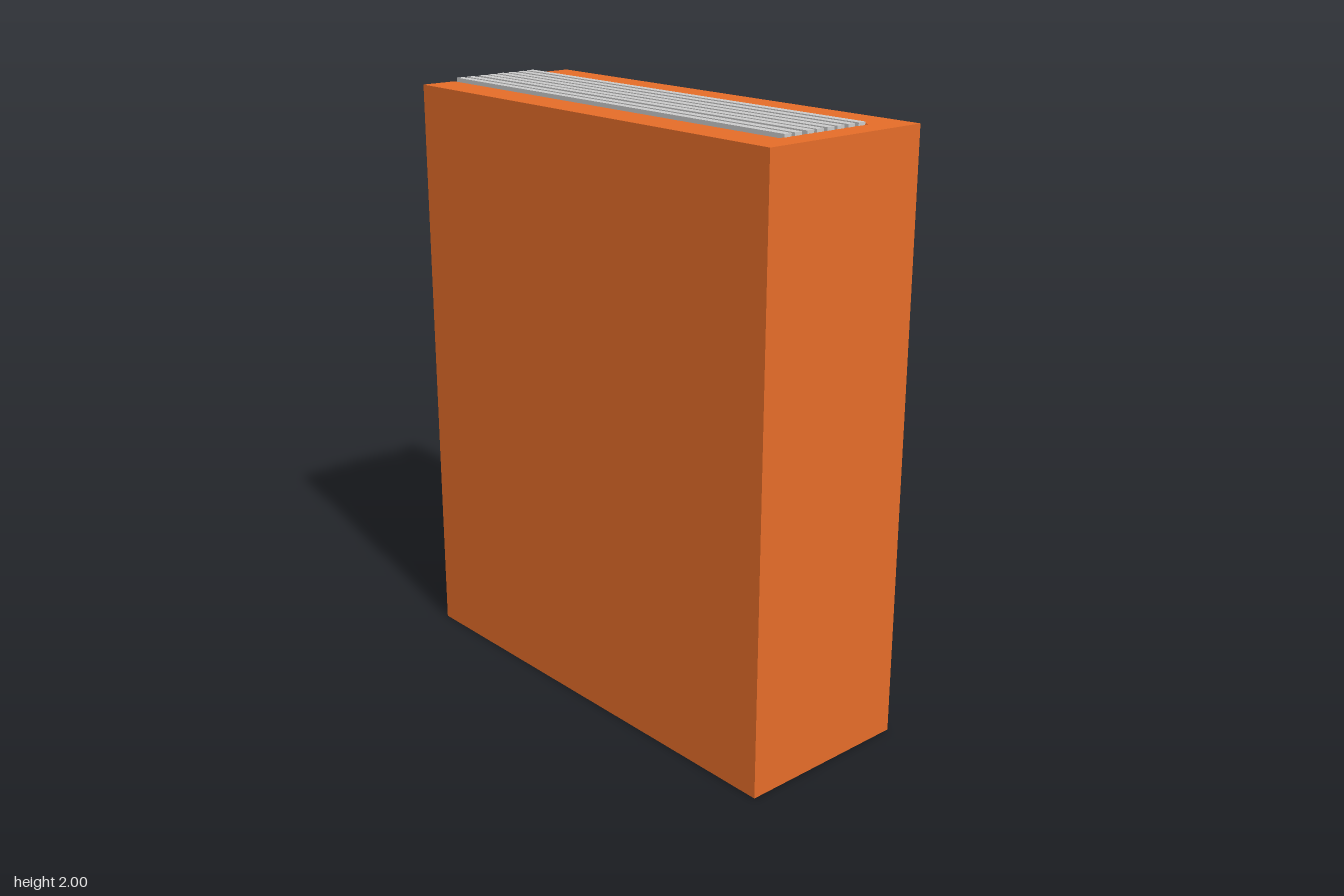
import * as THREE from 'three';

export function createModel() {
  const book = new THREE.Group();
  book.name = 'book';
  const coverMaterial = new THREE.MeshStandardMaterial({ color: 0xe66d29 });
  const pageMaterial = new THREE.MeshStandardMaterial({ color: 0xcccccc });

  // Box given by its lower and upper corners
  function addBox(name, material, [x0, y0, z0], [x1, y1, z1]) {
    const mesh = new THREE.Mesh(new THREE.BoxGeometry(x1 - x0, y1 - y0, z1 - z0), material);
    mesh.position.set((x0 + x1) / 2, (y0 + y1) / 2, (z0 + z1) / 2);
    mesh.name = name;
    book.add(mesh);
  }

  // Thick covers joined by the spine on the +x side
  const height = 1.99;
  addBox('frontCover', coverMaterial, [-0.818, 0, 0.181], [0.827, height, 0.307]);
  addBox('backCover', coverMaterial, [-0.818, 0, -0.309], [0.827, height, -0.187]);
  addBox('spine', coverMaterial, [0.738, 0, -0.187], [0.827, height, 0.181]);

  // Separate pages, slightly uneven at the fore edge: [centre z, fore edge x]
  const pages = [
    [-0.153, -0.83], [-0.109, -0.826], [-0.064, -0.826], [-0.023, -0.83],
    [0.021, -0.825], [0.06, -0.825], [0.109, -0.826], [0.15, -0.826],
  ];
  pages.forEach(([z, x], i) => {
    addBox(`page${i + 1}`, pageMaterial, [x, 0.015, z - 0.014], [0.741, 2, z + 0.014]);
  });

  return book;
}
